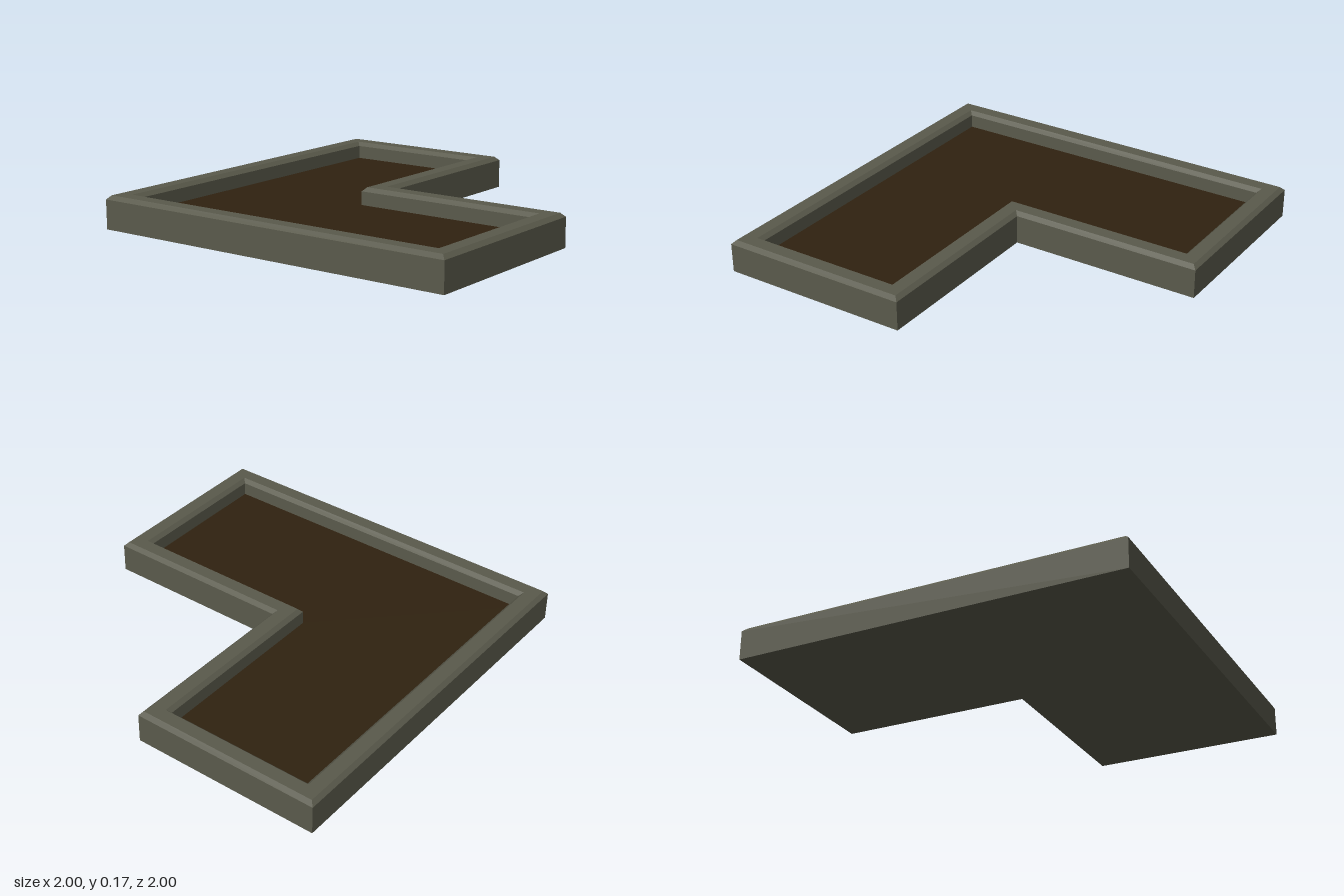
import * as THREE from 'three';

// L-shaped outline: corner x, z, then the inward mitre direction
const corners = [
  [-1, -1, 1, 1], [1, -1, -1, 1], [1, 0, -1, -1],
  [0, 0, -1, -1], [0, 1, -1, -1], [-1, 1, 1, -1],
];

// Wall cross-section from outer foot to soil line: [inset, height]
const profile = [[0, 0], [0, 0.15], [0.02, 0.17], [0.09, 0.17], [0.11, 0.15], [0.11, 0.08]];

const point = ([x, z, dx, dz], [inset, y]) => [x + dx * inset, y, z + dz * inset];

// Sweep the cross-section around the outline with mitred corners
function wallGeometry() {
  const pos = [];
  corners.forEach((c, i) => {
    const next = corners[(i + 1) % corners.length];
    for (let k = 0; k < profile.length - 1; k++) {
      const a = point(c, profile[k]), b = point(c, profile[k + 1]);
      const d = point(next, profile[k + 1]), e = point(next, profile[k]);
      pos.push(...a, ...b, ...d, ...a, ...d, ...e);
    }
  });
  const geo = new THREE.BufferGeometry();
  geo.setAttribute('position', new THREE.Float32BufferAttribute(pos, 3));
  geo.computeVertexNormals();
  return geo;
}

// Flat L-shaped face, looking up (side = 1) or down (side = -1)
function faceGeometry(inset, y, side) {
  const pts = corners.map((c) => {
    const [x, , z] = point(c, [inset, y]);
    return new THREE.Vector2(x, -side * z);
  });
  return new THREE.ShapeGeometry(new THREE.Shape(pts)).rotateX(-side * Math.PI / 2).translate(0, y, 0);
}

export function createModel() {
  const stone = new THREE.MeshStandardMaterial({ name: 'stone', color: 0x5a5a4c, flatShading: true });
  const soil = new THREE.MeshStandardMaterial({ name: 'soil', color: 0x302210, flatShading: true });
  const group = new THREE.Group();
  group.name = 'cornerPlanter';
  const add = (name, geo, mat) => {
    const mesh = new THREE.Mesh(geo, mat);
    mesh.name = name;
    group.add(mesh);
  };
  add('wall', wallGeometry(), stone);
  add('base', faceGeometry(0, 0, -1), stone);
  add('soilBed', faceGeometry(0.11, 0.08, 1), soil);
  return group;
}
